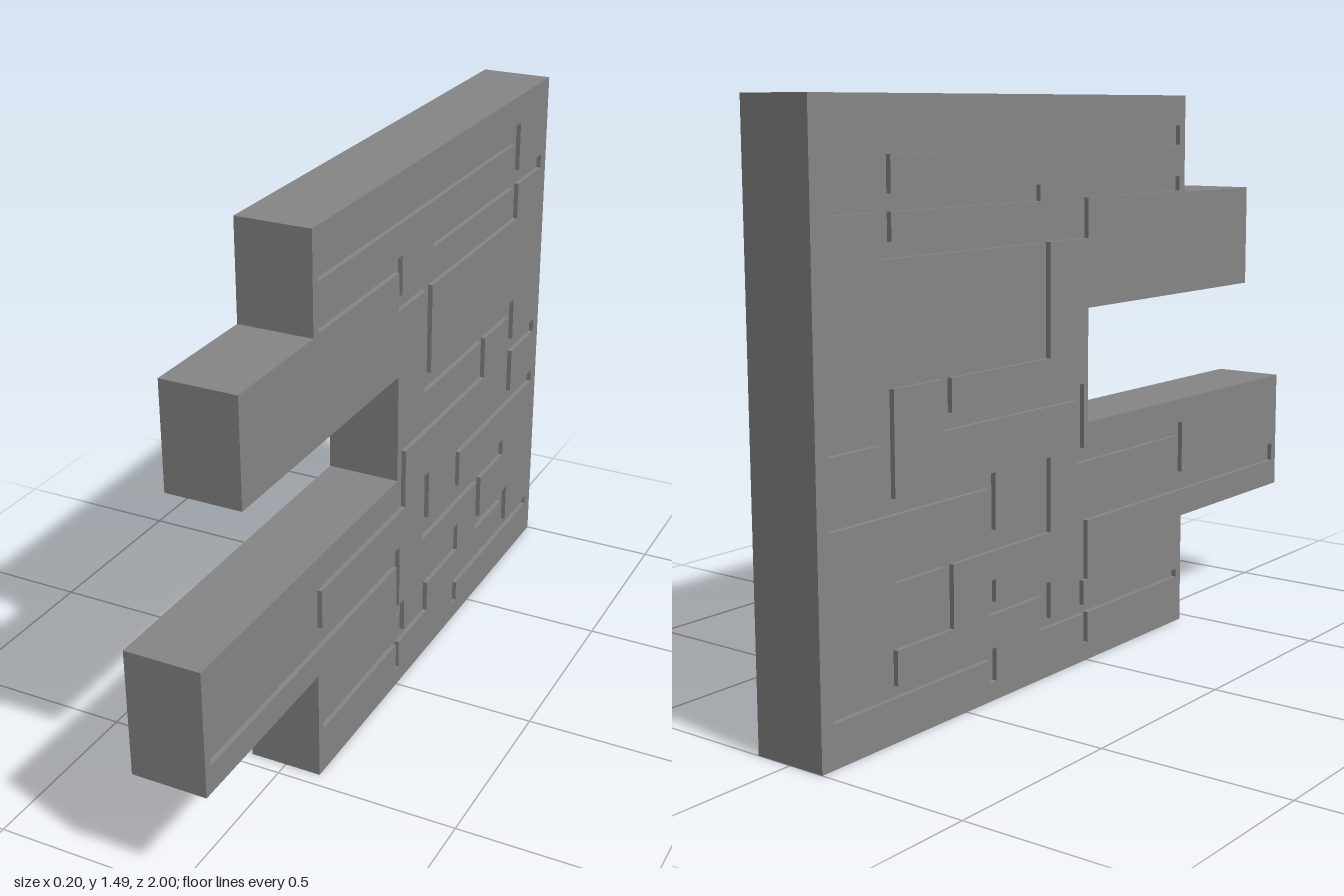
import * as THREE from 'three';

const THICKNESS = 0.2;
const GROOVE_DEPTH = 0.013;

// Right-angled outlines: start z, start y, then alternately the next y, the next z, ...
const OUTLINE = [0.46, 0, 0.305, 1, 0.643, 0.004, 0.943, 0.8, 1.223, 0.46, 1.486, -1, 0];

const GROOVE = [
  0.434, 1.405,
  // upper channels, going down
  1.353, -0.747, 1.267, -0.2, 1.227, -0.747, 1.16, -0.014, 1.267, 0.434, 1.227, 0.004, 1.123, -0.16,
  0.83, -0.545, 0.747, -0.014, 0.577, 0.462, 0.432, 0.977, 0.38, 0.004,
  // lower front channels
  0.22, -0.014, 0.153, 0.437, 0.13, 0.004, 0.048, -0.014, 0.13, -0.2, 0.22, -0.411, 0.308, -0.384,
  0.25, -0.16, 0.153, -0.047, 0.25, -0.014, 0.432, 0.435, 0.54, -0.047, 0.707, -0.577,
  // lower back channels
  0.83, -0.747, 0.577, -0.384, 0.432, -0.2, 0.577, -0.16, 0.38, -0.545, 0.22, -0.747, 0.134, -0.384,
  0.048, -0.411, 0.107, -0.962, 0.134, -0.79, 0.25, -0.577, 0.38, -0.747, 0.432, -0.411,
  // back edge, going up
  0.54, -0.962, 0.577, -0.79, 0.707, -0.962, 0.747, -0.79, 0.873, -0.2, 1.123, -0.79,
  1.227, -0.962, 1.267, -0.79, 1.405,
];

function corners([z, y, ...steps]) {
  const points = [new THREE.Vector2(-z, y)];
  steps.forEach((value, i) => {
    if (i % 2) z = value;
    else y = value;
    points.push(new THREE.Vector2(-z, y));
  });
  return points;
}

// Extrudes a profile across x, from x0 to x1
function plate(name, shape, x0, x1, material) {
  const geometry = new THREE.ExtrudeGeometry(shape, { depth: x1 - x0, bevelEnabled: false });
  geometry.translate(0, 0, x0);
  geometry.rotateY(Math.PI / 2);
  const mesh = new THREE.Mesh(geometry, material);
  mesh.name = name;
  return mesh;
}

export function createModel() {
  const group = new THREE.Group();
  group.name = 'engravedSlab';
  const material = new THREE.MeshStandardMaterial({ color: 0x868686 });
  const outer = THICKNESS / 2;
  const inner = outer - GROOVE_DEPTH;

  // Solid core forms the floor of the grooves
  group.add(plate('core', new THREE.Shape(corners(OUTLINE)), -inner, inner, material));

  // Face plates with the groove network cut through them
  const face = new THREE.Shape(corners(OUTLINE));
  face.holes.push(new THREE.Path(corners(GROOVE)));
  group.add(plate('leftFace', face, inner, outer, material));
  group.add(plate('rightFace', face, -outer, -inner, material));
  return group;
}
